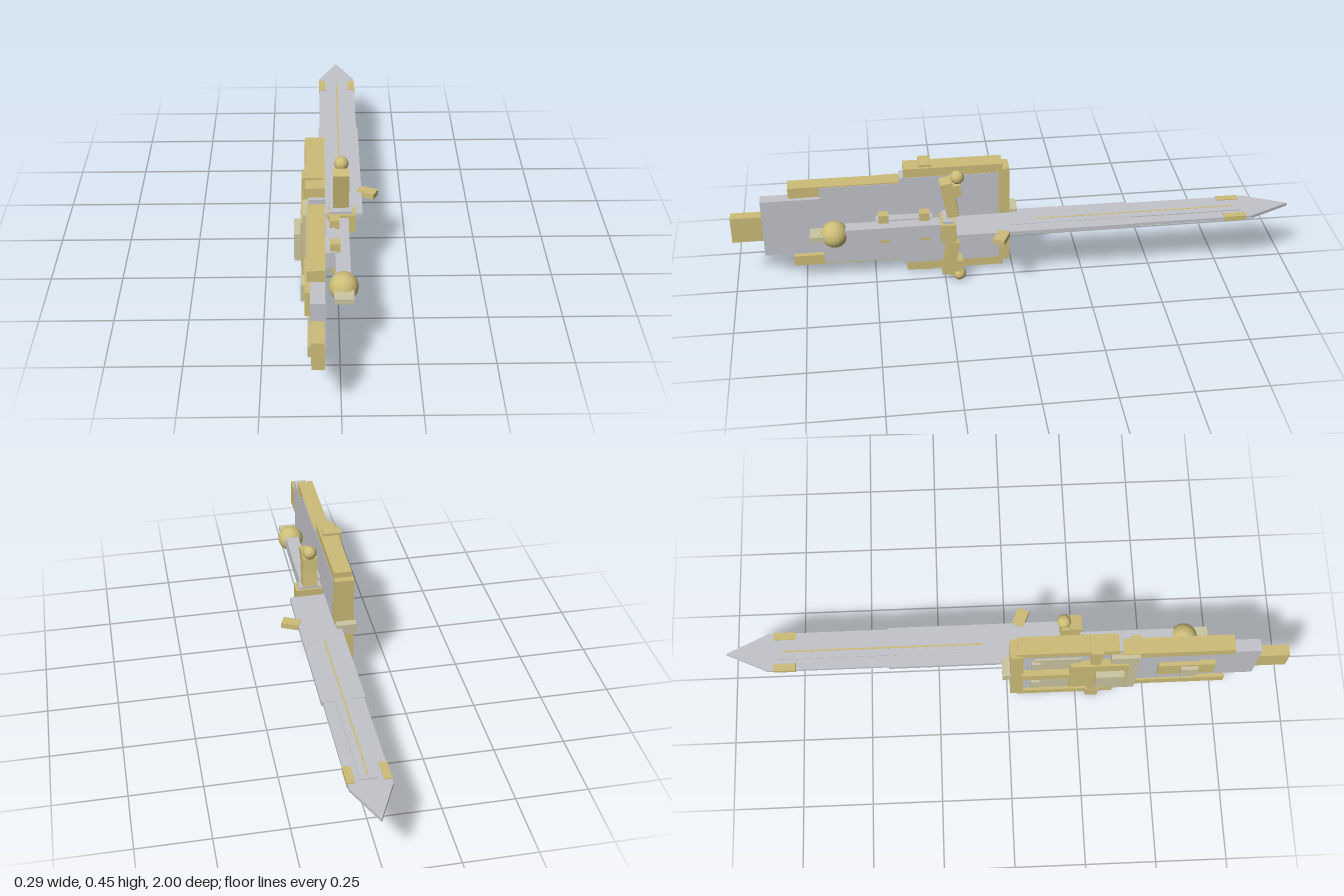
import * as THREE from 'three';

const gold = new THREE.MeshStandardMaterial({ color: 0xcdbd78, flatShading: true });
gold.name = 'gold';
const pale = new THREE.MeshStandardMaterial({ color: 0xcbc5a2, flatShading: true });
pale.name = 'paleGold';
const steel = new THREE.MeshStandardMaterial({ color: 0xc3c4ca, flatShading: true });
steel.name = 'steel';

const MID = 0.226; // height of the sword's plane
const AXIS = 0.012; // x of the sword's centre line

function add(parent, name, geometry, material) {
  const mesh = new THREE.Mesh(geometry, material);
  mesh.name = name;
  parent.add(mesh);
  return mesh;
}

// Box given by its limits on each axis
function box(parent, name, material, [x0, x1], [y0, y1], [z0, z1]) {
  const mesh = add(parent, name, new THREE.BoxGeometry(x1 - x0, y1 - y0, z1 - z0), material);
  mesh.position.set((x0 + x1) / 2, (y0 + y1) / 2, (z0 + z1) / 2);
  return mesh;
}

// Box centred on the sword plane, with a half height
const midBox = (parent, name, material, x, half, z) =>
  box(parent, name, material, x, [MID - half, MID + half], z);

// Two boxes mirrored above and below the sword plane, given by distance from it
function pair(parent, name, material, x, [a, b], z) {
  box(parent, name + 'Upper', material, x, [MID + a, MID + b], z);
  box(parent, name + 'Lower', material, x, [MID - b, MID - a], z);
}

// Flat outline in x and z, extruded along y around the sword plane
function slab(parent, name, material, points, thickness) {
  const shape = new THREE.Shape(points.map(([x, z]) => new THREE.Vector2(x, -z)));
  const geometry = new THREE.ExtrudeGeometry(shape, { depth: thickness, bevelEnabled: false });
  geometry.rotateX(-Math.PI / 2);
  const mesh = add(parent, name, geometry, material);
  mesh.position.y = MID - thickness / 2;
  return mesh;
}

function createBlade() {
  const blade = new THREE.Group();
  blade.name = 'blade';
  slab(blade, 'bladeFront', steel,
    [[-0.058, -0.4], [0.082, -0.4], [0.082, -0.85], [AXIS, -1], [-0.058, -0.85]], 0.012);
  midBox(blade, 'bladeBase', steel, [-0.063, 0.087], 0.008, [-0.42, 0.21]);
  midBox(blade, 'fuller', steel, [-0.018, 0.042], 0.0095, [-0.82, 0.02]);
  midBox(blade, 'goldInlay', gold, [AXIS - 0.003, AXIS + 0.003], 0.0102, [-0.8, -0.08]);
  for (const s of [-1, 1]) {
    const a = AXIS + s * 0.045, b = AXIS + s * 0.072;
    midBox(blade, 'tipPad', gold, [Math.min(a, b), Math.max(a, b)], 0.0085, [-0.83, -0.75]);
  }
  // Slanted catch on the blade's edge
  const hook = add(blade, 'hook', new THREE.BoxGeometry(0.066, 0.02, 0.042), gold);
  hook.position.set(0.108, MID, 0.056);
  hook.rotation.y = -0.43;
  return blade;
}

function createHilt() {
  const hilt = new THREE.Group();
  hilt.name = 'hilt';
  midBox(hilt, 'guardBlock', gold, [-0.035, 0.062], 0.034, [0.21, 0.265]);
  midBox(hilt, 'guardCore', steel, [-0.03, 0.05], 0.043, [0.217, 0.255]);
  midBox(hilt, 'grip', steel, [-0.012, 0.037], 0.025, [0.26, 0.6]);
  const pommel = add(hilt, 'pommel', new THREE.SphereGeometry(0.048, 20, 14), gold);
  pommel.position.set(0.013, MID, 0.637);
  midBox(hilt, 'pommelTab', pale, [-0.018, 0.045], 0.0095, [0.64, 0.723]);

  // Guard arms lean forward, each with a ball on its end
  for (const s of [-1, 1]) {
    const arm = add(hilt, 'guardArm', new THREE.BoxGeometry(0.054, 0.138, 0.043), gold);
    arm.position.set(AXIS, MID + s * 0.121, 0.23);
    arm.rotation.x = s * 0.17;
    const neck = add(hilt, 'armTip', new THREE.BoxGeometry(0.052, 0.046, 0.034), gold);
    neck.position.set(AXIS, MID + s * 0.156, 0.206);
    neck.rotation.x = s * 0.1;
    const ball = add(hilt, 'armBall', new THREE.SphereGeometry(0.0245, 16, 12), gold);
    ball.position.set(0.013, MID + s * 0.201, 0.2);
  }

  // Bracket joining grip and scabbard
  midBox(hilt, 'bracket', steel, [-0.046, -0.008], 0.03, [0.29, 0.49]);
  for (const z of [0.3, 0.445])
    midBox(hilt, 'bracketBolt', gold, [-0.028, 0.005], 0.056, [z, z + 0.036]);
  return hilt;
}

function createScabbard() {
  const scabbard = new THREE.Group();
  scabbard.name = 'scabbard';
  // Stepped body, tapering to the gold end block
  midBox(scabbard, 'mouthBody', steel, [-0.097, -0.0415], 0.178, [0.05, 0.4]);
  midBox(scabbard, 'middleBody', steel, [-0.096, -0.043], 0.157, [0.4, 0.68]);
  midBox(scabbard, 'tailBody', steel, [-0.092, -0.047], 0.111, [0.6, 0.89]);
  midBox(scabbard, 'endBlock', gold, [-0.09, -0.05], 0.049, [0.88, 1]);

  // Gold framing
  midBox(scabbard, 'mouthStrip', gold, [-0.112, -0.0425], 0.19, [0.01, 0.056]);
  pair(scabbard, 'mouthRail', gold, [-0.108, -0.043], [0.177, 0.211], [0.035, 0.385]);
  pair(scabbard, 'tailRail', gold, [-0.103, -0.045], [0.122, 0.161], [0.39, 0.79]);
  pair(scabbard, 'band', gold, [-0.12, -0.052], [0.165, 0.22], [0.285, 0.33]);
  midBox(scabbard, 'bandBack', gold, [-0.118, -0.095], 0.2, [0.29, 0.325]);
  midBox(scabbard, 'mouthClip', pale, [-0.117, -0.045], 0.02, [-0.018, 0.012]);

  // Layered plates on the outer face
  midBox(scabbard, 'crossPanel', pale, [-0.117, -0.095], 0.155, [0.36, 0.46]);
  midBox(scabbard, 'squarePlate', gold, [-0.124, -0.095], 0.105, [0.22, 0.425]);
  midBox(scabbard, 'squareBoss', pale, [-0.147, -0.12], 0.051, [0.31, 0.41]);
  midBox(scabbard, 'mouthBar', gold, [-0.121, -0.095], 0.02, [0.05, 0.23]);
  midBox(scabbard, 'tailBar', gold, [-0.111, -0.09], 0.043, [0.535, 0.735]);
  midBox(scabbard, 'tailBoss', pale, [-0.124, -0.105], 0.03, [0.615, 0.675]);
  pair(scabbard, 'cornerPanel', steel, [-0.102, -0.095], [0.035, 0.165], [0.07, 0.275]);
  pair(scabbard, 'cornerInset', pale, [-0.108, -0.1], [0.05, 0.145], [0.095, 0.255]);
  pair(scabbard, 'cornerTab', pale, [-0.116, -0.1], [0.065, 0.125], [0.085, 0.115]);
  return scabbard;
}

export function createModel() {
  const model = new THREE.Group();
  model.name = 'swordAndScabbard';
  model.add(createBlade(), createHilt(), createScabbard());
  return model;
}
